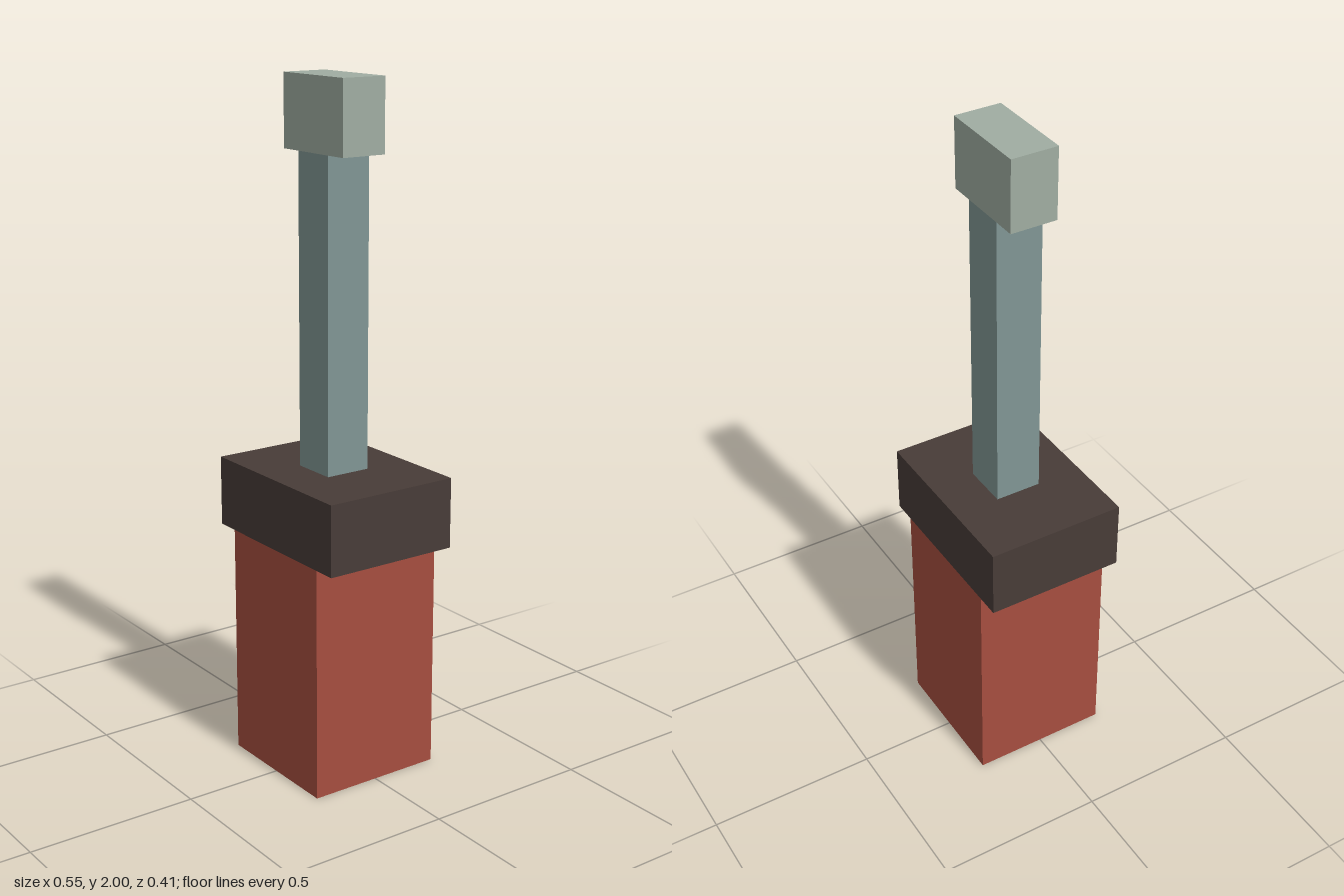
import * as THREE from 'three';

// The whole tool is laid out on a block grid, 29 blocks tall.
const UNIT = 2 / 29;

export function createModel() {
  const model = new THREE.Group();
  model.name = 'model';

  // Stacked from the ground up: name, width, height, depth (in blocks), color
  const parts = [
    ['grip', 6, 10, 6, 0xa64e40],
    ['collar', 8, 3, 6, 0x483c38],
    ['shaft', 2, 13, 2, 0x809694],
    ['tip', 4, 3, 2, 0xa0ada2],
  ];

  let bottom = 0;
  for (const [name, width, height, depth, color] of parts) {
    const mesh = new THREE.Mesh(
      new THREE.BoxGeometry(width * UNIT, height * UNIT, depth * UNIT),
      new THREE.MeshStandardMaterial({ color })
    );
    mesh.name = name;
    mesh.position.y = (bottom + height / 2) * UNIT;
    model.add(mesh);
    bottom += height;
  }

  return model;
}
